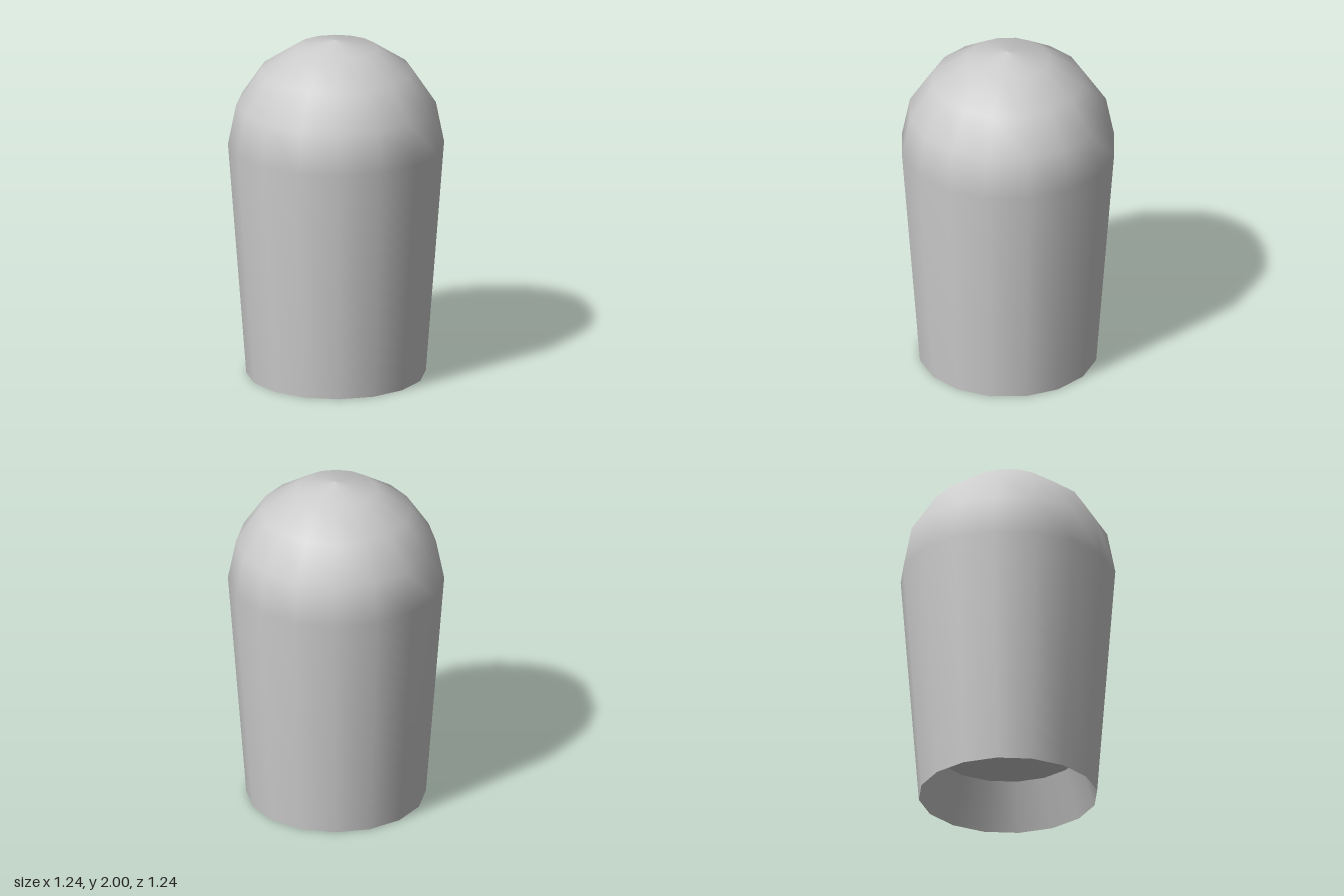
import * as THREE from 'three';

const SIDES = 16;

export function createModel() {
  const group = new THREE.Group();
  const material = new THREE.MeshStandardMaterial({ color: 0xcccccc });
  const add = (name, geometry) => {
    const mesh = new THREE.Mesh(geometry, material);
    mesh.name = name;
    group.add(mesh);
    return mesh;
  };

  const radius = 0.62, shoulder = 1.38;
  const baseRadius = 0.515, recessRadius = 0.42, recessHeight = 0.28;

  // Outer shell: tapered body running smoothly into a half-round dome
  const profile = [new THREE.Vector2(baseRadius, 0)];
  for (let i = 0; i <= 4; i++) {
    const a = (i / 4) * Math.PI / 2;
    profile.push(new THREE.Vector2(i === 4 ? 0 : radius * Math.cos(a), shoulder + radius * Math.sin(a)));
  }
  add('domedBody', new THREE.LatheGeometry(profile, SIDES));

  // Recess under the base: sloping wall from the ceiling down to the rim
  add('recessWall', new THREE.LatheGeometry([
    new THREE.Vector2(recessRadius, recessHeight),
    new THREE.Vector2(baseRadius, 0),
  ], SIDES));

  // Flat ceiling of the recess, facing down
  const ceiling = add('recessCeiling', new THREE.CircleGeometry(recessRadius, SIDES));
  ceiling.rotation.x = Math.PI / 2;
  ceiling.position.y = recessHeight;

  return group;
}
